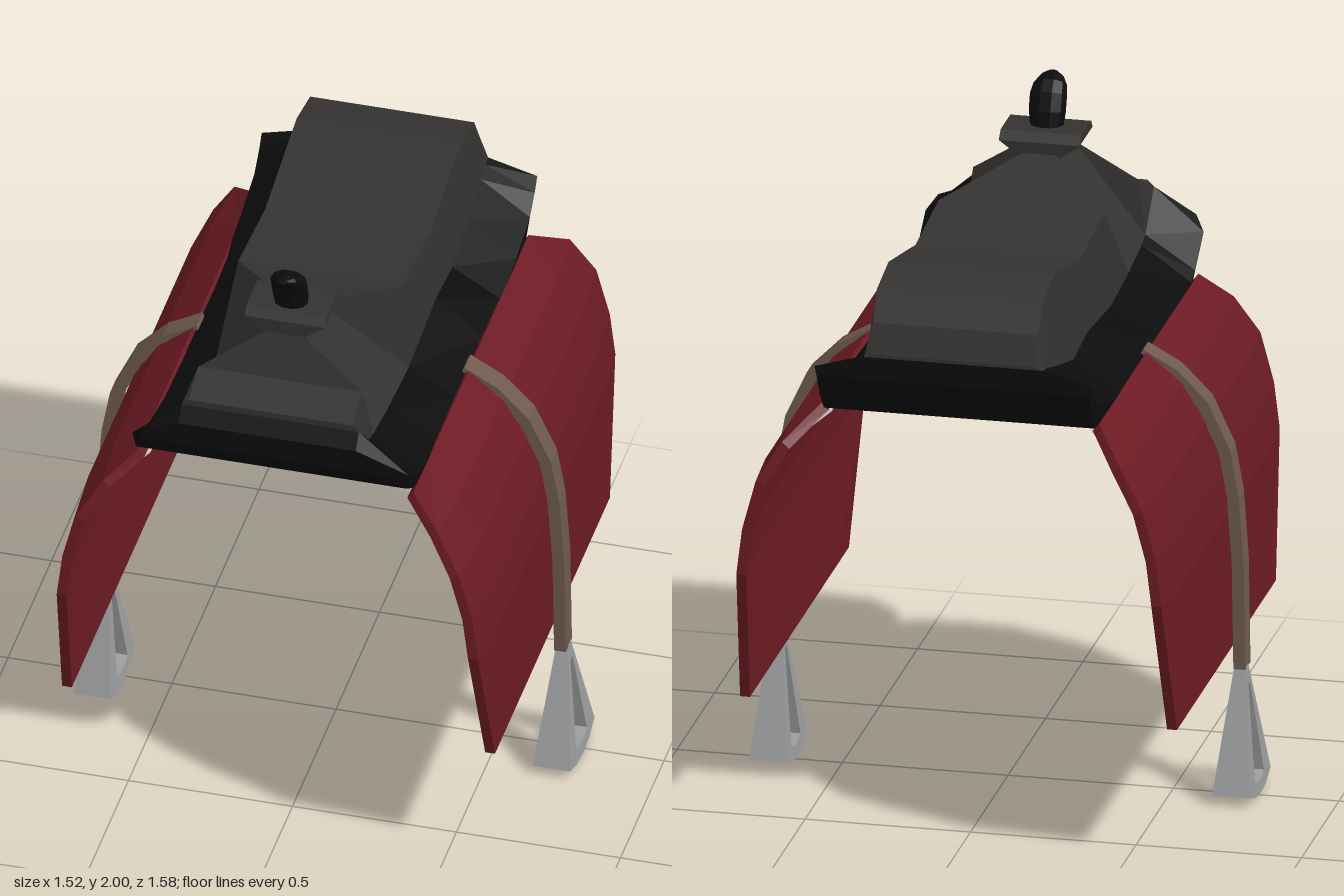
import * as THREE from 'three';

const mat = (color) => new THREE.MeshStandardMaterial({ color, flatShading: true });
const V = (x, y, z) => new THREE.Vector3(x, y, z);

// Closed, capped skin over rings that run counter-clockwise about the loft direction
function loft(rings) {
  const n = rings[0].length, pos = [], idx = [];
  rings.forEach((r) => r.forEach((p) => pos.push(p.x, p.y, p.z)));
  for (let i = 0; i < rings.length - 1; i++) {
    for (let j = 0; j < n; j++) {
      const a = i * n + j, b = i * n + (j + 1) % n;
      idx.push(a, b, b + n, a, b + n, a + n);
    }
  }
  const last = (rings.length - 1) * n;
  for (let j = 1; j < n - 1; j++) {
    idx.push(0, j + 1, j, last, last + j, last + j + 1);
  }
  const g = new THREE.BufferGeometry();
  g.setAttribute('position', new THREE.Float32BufferAttribute(pos, 3));
  g.setIndex(idx);
  g.computeVertexNormals();
  return g;
}

// Curved sheet from rows [x, y, zFront, zBack] going upward; its ends tuck inward
function sheet(rows, thick, side, tuck = 0) {
  const rings = rows.map(([x, y, zf, zb], i) => {
    const a = rows[Math.max(i - 1, 0)], b = rows[Math.min(i + 1, rows.length - 1)];
    const len = Math.hypot(b[0] - a[0], b[1] - a[1]);
    const nx = (b[1] - a[1]) / len * thick / 2, ny = -(b[0] - a[0]) / len * thick / 2;
    const inner = i > 0 && i < rows.length - 1;
    const row = (s) => [1, 0.75, -0.75, -1].map((t) =>
      V(x + s * nx - (inner && Math.abs(t) === 1 ? tuck : 0), y + s * ny,
        (zf + zb) / 2 + t * (zf - zb) / 2));
    return [...row(1), ...row(-1).reverse()];
  });
  if (side > 0) return loft(rings);
  return loft(rings.map((r) => r.map((p) => V(-p.x, p.y, p.z)).reverse()));
}

// Triangular stirrup with an opening, widening toward the tread
function stirrupGeometry() {
  const outline = (w, top, base, sag) => [
    [0.012, top], [-0.012, top], [-w, base], [-w / 2, base - sag * 0.75],
    [0, base - sag], [w / 2, base - sag * 0.75], [w, base],
  ].map(([x, y]) => new THREE.Vector2(x, y));
  const shape = new THREE.Shape(outline(0.14, 0.4, 0.03, 0.03));
  shape.holes.push(new THREE.Path(outline(0.06, 0.34, 0.05, 0.01)));
  const g = new THREE.ExtrudeGeometry(shape, { depth: 1, bevelEnabled: false });
  g.translate(0, 0, -0.5).rotateY(Math.PI / 2);
  const p = g.attributes.position;
  for (let i = 0; i < p.count; i++) {
    p.setX(i, p.getX(i) * THREE.MathUtils.lerp(0.12, 0.035, p.getY(i) / 0.4));
  }
  g.computeVertexNormals();
  return g;
}

export function createModel() {
  const group = new THREE.Group();
  const black = mat(0x0c0c0c), leather = mat(0x353331), red = mat(0x6c1b23);
  const brown = mat(0x6e5a4e), metal = mat(0x9a9c9e), grey = mat(0xcccccc);
  const add = (name, geometry, material, parent = group) => {
    const m = new THREE.Mesh(geometry, material);
    m.name = name;
    parent.add(m);
    return m;
  };

  // Saddle stations, back to front: z, top half width, top y, seam y, rim y, underside y
  const stations = [
    [-0.73, 0.25, 1.56, 1.55, 1.51, 1.48],
    [-0.70, 0.25, 1.65, 1.545, 1.47, 1.41],
    [-0.645, 0.25, 1.735, 1.53, 1.42, 1.35],
    [-0.49, 0.25, 1.765, 1.485, 1.38, 1.305],
    [-0.32, 0.25, 1.73, 1.44, 1.35, 1.28],
    [-0.13, 0.25, 1.69, 1.46, 1.345, 1.28],
    [0.18, 0.25, 1.72, 1.43, 1.345, 1.28],
    [0.42, 0.05, 1.80, 1.45, 1.35, 1.30],
    [0.59, 0.06, 1.79, 1.475, 1.37, 1.33],
    [0.64, 0.25, 1.66, 1.49, 1.39, 1.34],
    [0.755, 0.25, 1.62, 1.60, 1.47, 1.42],
  ];
  add('seat', loft(stations.map(([z, w, ty, my]) =>
    [V(0.27, my, z), V(w, ty, z), V(-w, ty, z), V(-0.27, my, z)])), leather);

  // Skirt and underside, with a blunt front lip
  const skirt = [...stations, [0.79, 0.25, 0, 1.555, 1.51, 1.48]];
  add('skirt', loft(skirt.map(([z, , , my, oy, by]) => {
    const o = z > 0.78 ? 0.39 : 0.42;
    return [V(-o + 0.01, by, z), V(o - 0.01, by, z), V(o, oy, z),
      V(0.27, my, z), V(-0.27, my, z), V(-o, oy, z)];
  })), black);

  // Horn collar: y, half width, back z, front z
  add('hornCollar', loft([
    [1.78, 0.05, 0.42, 0.59], [1.835, 0.122, 0.415, 0.59], [1.86, 0.122, 0.44, 0.57],
  ].map(([y, w, b, f]) => [V(w, y, b), V(-w, y, b), V(-w, y, f), V(w, y, f)])), leather);

  // Horn: y, z, half width, half depth, forward tilt of the ring
  add('horn', loft([
    [1.85, 0.515, 0.05, 0.04, 0], [1.90, 0.525, 0.056, 0.042, 0.2],
    [1.945, 0.54, 0.056, 0.038, 0.5], [1.97, 0.563, 0.05, 0.03, 0.8],
    [1.985, 0.59, 0.035, 0.018, 1], [1.993, 0.606, 0.014, 0.008, 1],
  ].map(([y, z, w, d, tilt]) => Array.from({ length: 10 }, (_, i) => {
    const a = i / 10 * Math.PI * 2, dz = -Math.sin(a) * d;
    return V(Math.cos(a) * w, y - dz * Math.sin(tilt), z + dz * Math.cos(tilt));
  }))), black);

  // Flaps, straps and stirrups on both sides
  const flapRows = [
    [0.645, 0.43, 0.66, -0.66], [0.642, 0.86, 0.79, -0.79], [0.625, 1.0, 0.79, -0.79],
    [0.585, 1.15, 0.79, -0.79], [0.515, 1.265, 0.755, -0.76], [0.41, 1.35, 0.69, -0.635],
  ];
  const liningRows = [[0.465, 1.28, 0.69, -0.65], [0.395, 1.335, 0.66, -0.62]];
  const strapRows = [
    [0.70, 0.39], [0.695, 0.72], [0.68, 0.93], [0.655, 1.07],
    [0.59, 1.21], [0.50, 1.30], [0.40, 1.355],
  ].map(([x, y]) => [x, y, 0.065, -0.005]);
  for (const side of [1, -1]) {
    const half = new THREE.Group();
    half.name = side > 0 ? 'leftSide' : 'rightSide';
    group.add(half);
    add('flap', sheet(flapRows, 0.03, side, 0.015), red, half);
    add('flapLining', sheet(liningRows, 0.01, side), grey, half);
    add('strap', sheet(strapRows, 0.036, side), brown, half);
    add('stirrup', stirrupGeometry(), metal, half).position.set(side * 0.7, 0, 0.022);
  }
  return group;
}
